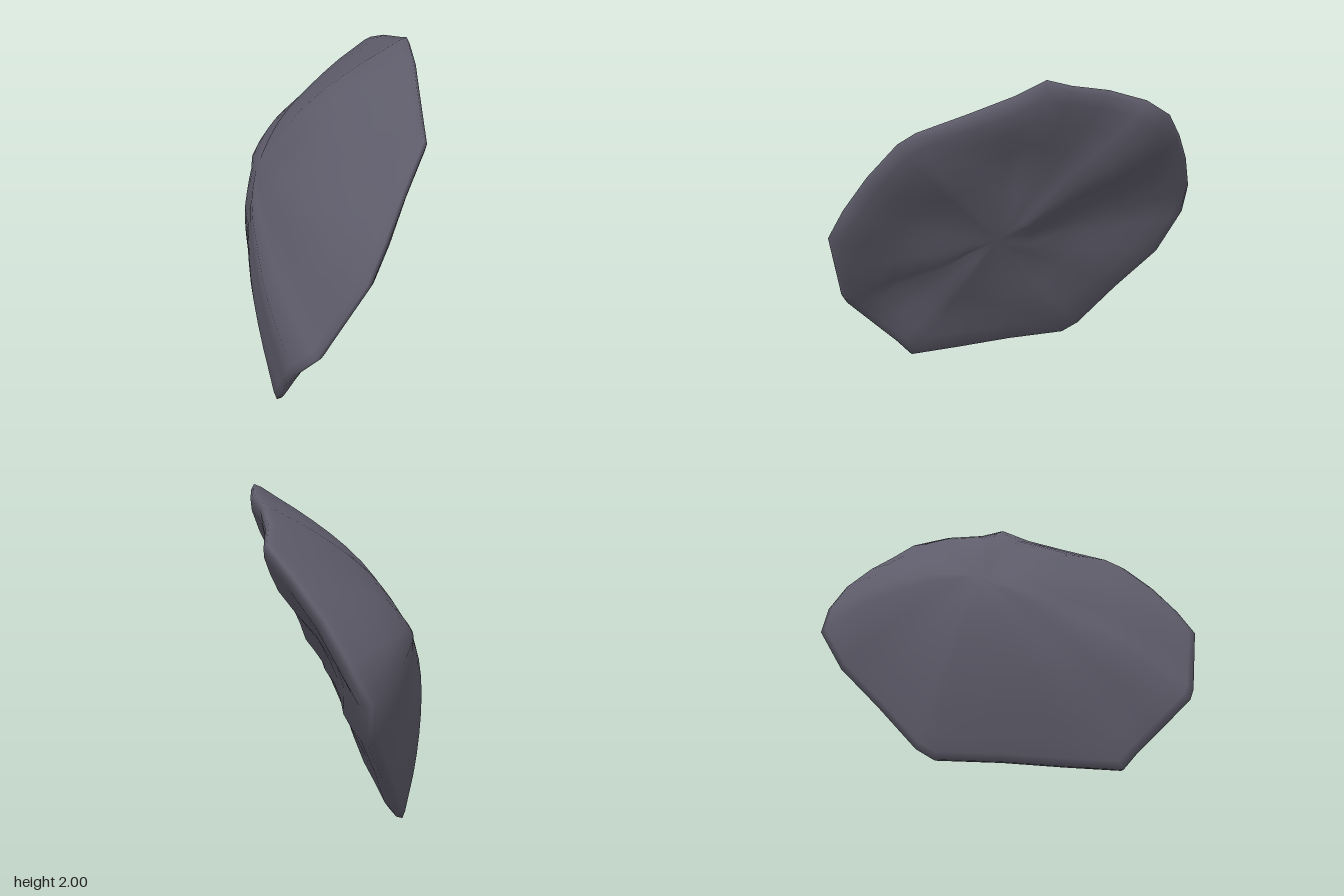
import * as THREE from 'three';

// Outline of the rock slab, running anticlockwise as seen from its domed side
const RIM = [
  [0.75, 1.67, 0.35], [0.70, 1.73, 0.26], [0.57, 1.83, 0.0], [0.46, 1.92, -0.22],
  [0.36, 2.0, -0.37], [0.28, 1.96, -0.49], [0.1, 1.91, -0.65], [-0.06, 1.83, -0.83],
  [-0.13, 1.74, -0.95], [-0.32, 1.57, -0.975], [-0.5, 1.38, -0.985], [-0.65, 1.16, -0.98],
  [-0.75, 0.95, -0.93], [-0.69, 0.7, -0.8], [-0.64, 0.42, -0.54], [-0.58, 0.14, -0.3],
  [-0.55, 0.07, -0.2], [-0.36, 0.05, 0.12], [-0.17, 0.02, 0.42],
  [0.0, 0.0, 0.68], [0.07, 0.11, 0.74], [0.15, 0.24, 0.84],
  [0.27, 0.43, 0.98], [0.39, 0.54, 0.95], [0.52, 0.78, 0.91],
  [0.65, 1.02, 0.87], [0.69, 1.22, 0.74], [0.72, 1.45, 0.56],
].map(p => new THREE.Vector3(...p));

const NORMAL = new THREE.Vector3(-0.76, 0.45, 0.47).normalize();
const DOME_CENTRE = new THREE.Vector3(-0.13, 0.98, -0.17); // the dome peaks off centre
const BACK_CENTRE = new THREE.Vector3(0.08, 0.985, 0.05);

// Rings as [centre, scale of outline, height along the slab normal, roughness]:
// domed face outwards, round the rim, then back in over the flatter face
const RINGS = [];
for (let k = 0; k <= 9; k++) {
  const s = k / 10;
  RINGS.push([DOME_CENTRE, s, 0.43 * (1 - s ** 1.9), 0.006 * (1 - s)]);
}
RINGS.push([DOME_CENTRE, 0.97, 0.03, 0], [BACK_CENTRE, 1, 0, 0]);
RINGS.push([BACK_CENTRE, 0.98, -0.03, 0], [BACK_CENTRE, 0.92, -0.055, 0.002]);
for (const s of [0.8, 0.65, 0.5, 0.35, 0.18, 0]) RINGS.push([BACK_CENTRE, s, -0.1 + 0.045 * s, 0.008]);

function slabGeometry() {
  const n = RIM.length, last = RINGS.length - 1;
  const pos = [], index = [];
  const id = (k, i) => k === 0 ? 0 : k === last ? 1 + (last - 1) * n : 1 + (k - 1) * n + (i % n);
  RINGS.forEach(([centre, s, h, rough], k) => {
    const count = k === 0 || k === last ? 1 : n;
    for (let i = 0; i < count; i++) {
      const p = centre.clone().lerp(RIM[i], s);
      // gentle hollows and lumps
      const bump = Math.sin(9 * p.x + 4 * p.y) + Math.sin(8 * p.y - 7 * p.z + 1) + Math.sin(11 * p.z + 5 * p.x);
      p.addScaledVector(NORMAL, h + rough * bump);
      pos.push(p.x, p.y, p.z);
    }
  });
  for (let k = 0; k < last; k++) {
    for (let i = 0; i < n; i++) {
      const a = id(k, i), b = id(k, i + 1), c = id(k + 1, i), d = id(k + 1, i + 1);
      if (c !== d) index.push(a, c, d);
      if (a !== b) index.push(a, d, b);
    }
  }
  const g = new THREE.BufferGeometry();
  g.setAttribute('position', new THREE.Float32BufferAttribute(pos, 3));
  g.setIndex(index);
  g.computeVertexNormals();
  return g;
}

export function createModel() {
  const stone = new THREE.MeshStandardMaterial({ color: 0x5e5c6a });
  stone.name = 'slate grey';

  const slab = new THREE.Mesh(slabGeometry(), stone);
  slab.name = 'rockSlab';

  const model = new THREE.Group();
  model.name = 'rock';
  model.add(slab);
  return model;
}
